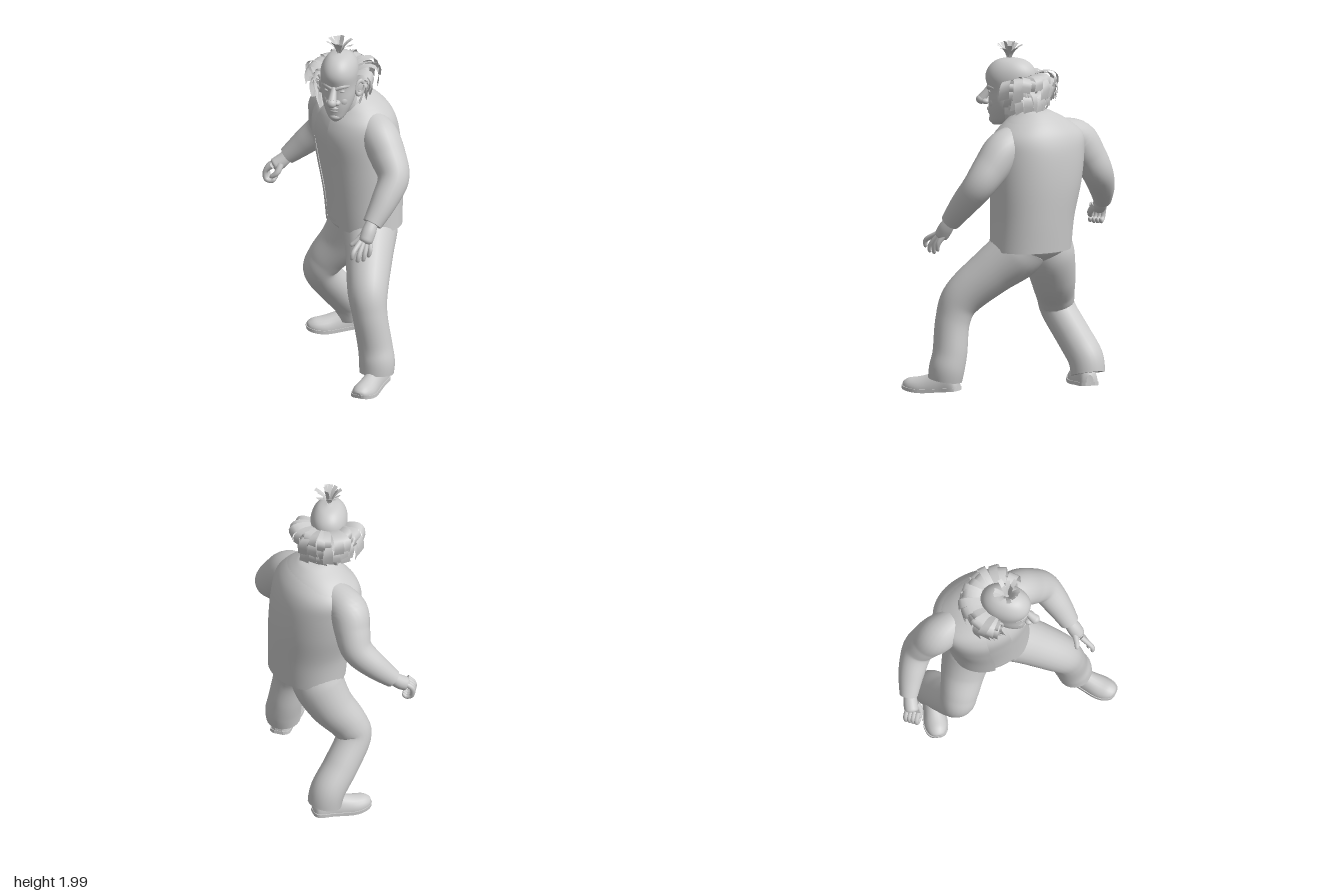
import * as THREE from 'three';

const grey = new THREE.MeshStandardMaterial({ color: 0xcccccc, roughness: 0.8 });
const thin = grey.clone();
thin.side = THREE.DoubleSide;
const V = (x, y, z) => new THREE.Vector3(x, y, z);

let seed = 7;
const rand = (a, b) => {
  seed = (seed * 16807) % 2147483647;
  return a + (b - a) * seed / 2147483647;
};

// Catmull-Rom through rows of numbers, n steps per span
function smooth(rows, n) {
  const out = [], last = rows.length - 1;
  const row = i => rows[Math.min(last, Math.max(0, i))];
  for (let s = 0; s < last * n + 1; s++) {
    const i = Math.min(last - 1, Math.floor(s / n)), t = s / n - i;
    out.push(row(i).map((b, k) => {
      const a = row(i - 1)[k], c = row(i + 1)[k], d = row(i + 2)[k];
      return b + 0.5 * t * (c - a + t * (2 * a - 5 * b + 4 * c - d + t * (3 * (b - c) + d - a)));
    }));
  }
  return out;
}

// Skin between rings of points
function loft(name, rings, closed = true, material = grey) {
  const m = rings[0].length, index = [];
  for (let i = 0; i < rings.length - 1; i++) {
    for (let j = 0; j < (closed ? m : m - 1); j++) {
      const k = (j + 1) % m, a = i * m + j, b = i * m + k;
      index.push(a, b, a + m, b, b + m, a + m);
    }
  }
  const g = new THREE.BufferGeometry().setFromPoints(rings.flat());
  g.setIndex(index);
  g.computeVertexNormals();
  const mesh = new THREE.Mesh(g, material);
  mesh.name = name;
  return mesh;
}

// Flat caps with a sharp rim
function capped(rings) {
  const cap = ring => {
    const c = ring.reduce((s, p) => s.add(p), V(0, 0, 0)).divideScalar(ring.length);
    return ring.map(() => c);
  };
  const a = rings[0], b = rings[rings.length - 1];
  return [cap(a), a, ...rings, b, cap(b)];
}

// Round tube through rows [x, y, z, radius]
function limb(name, rows, { ref = V(1, 0, 0), sides = 24, steps = 8, round = false } = {}) {
  const pts = smooth(rows, steps), n = pts.length - 1;
  const rings = pts.map((p, i) => {
    const T = V(...pts[Math.min(n, i + 1)]).sub(V(...pts[Math.max(0, i - 1)])).normalize();
    const U = ref.clone().cross(T).normalize(), W = T.clone().cross(U);
    const end = round ? Math.sqrt(Math.max(0.12, 1 - Math.max(0, (i / n - 0.8) / 0.2) ** 2)) : 1;
    return Array.from({ length: sides }, (_, j) => {
      const q = j / sides * Math.PI * 2, r = p[3] * end;
      return V(p[0], p[1], p[2]).addScaledVector(U, r * Math.cos(q)).addScaledVector(W, r * Math.sin(q));
    });
  });
  return loft(name, capped(rings));
}

// Level ring turned by yaw, from q0 to q1 (0 is the front)
function levelRing([y, cx, cz, w, d], yaw, power, sides, q0 = 0, q1 = Math.PI * 2) {
  const full = q1 - q0 > 6.28, e = 2 / power;
  return Array.from({ length: full ? sides : sides + 1 }, (_, j) => {
    const q = q0 + (q1 - q0) * j / sides, c = Math.cos(q), s = Math.sin(q);
    return V(Math.sign(s) * Math.abs(s) ** e * w, 0, Math.sign(c) * Math.abs(c) ** e * d)
      .applyAxisAngle(V(0, 1, 0), yaw).add(V(cx, y, cz));
  });
}

function ball(name, x, y, z, sx, sy, sz) {
  const mesh = new THREE.Mesh(new THREE.SphereGeometry(1, 24, 16), grey);
  mesh.position.set(x, y, z);
  mesh.scale.set(sx, sy, sz);
  mesh.name = name;
  return mesh;
}

// Bent strand of hair from a to d
function strand(name, a, b, c, d, side, width) {
  const rings = new THREE.CubicBezierCurve3(a, b, c, d).getPoints(7).map((p, i) =>
    [-1, 0, 1].map(s => p.clone().addScaledVector(side, s * width * (0.85 + 0.04 * i))));
  return loft(name, rings, false, thin);
}

function makeShoe(name, x, z, yaw) {
  const shoe = new THREE.Group();
  shoe.name = name;
  // [z, half width, height]
  const rows = [[-0.105, 0.022, 0.07], [-0.09, 0.046, 0.1], [-0.06, 0.054, 0.125], [0, 0.053, 0.125], [0.07, 0.059, 0.11],
    [0.14, 0.066, 0.092], [0.19, 0.058, 0.078], [0.222, 0.038, 0.055], [0.233, 0.014, 0.04]];
  const lift = pz => 0.03 * Math.max(0, (pz - 0.07) / 0.16) ** 2;
  const rings = smooth(rows, 4).map(([pz, w, h]) => Array.from({ length: 20 }, (_, j) => {
    const q = j / 20 * Math.PI * 2, s = Math.sin(q);
    return V(Math.cos(q) * w, 0.025 + lift(pz) + (s > 0 ? s * (h - 0.025) : s * 0.01), pz);
  }));
  shoe.add(loft('shoeUpper', capped(rings)));
  const sole = smooth(rows, 4).map(([pz, w]) => [[1, 0.008], [1, 0.028], [-1, 0.028], [-1, 0.008]]
    .map(([s, y]) => V(s * (w + 0.005), y + lift(pz), pz * 1.02)));
  const soleMesh = loft('shoeSole', capped(sole));
  soleMesh.geometry = soleMesh.geometry.toNonIndexed();
  soleMesh.geometry.computeVertexNormals();
  shoe.add(soleMesh);
  shoe.position.set(x, 0.01, z);
  shoe.rotation.set(0.1, yaw, 0, 'YXZ');
  return shoe;
}

function makeHead() {
  const head = new THREE.Group(), cx = 0.055;
  head.name = 'head';
  const skull = smooth([[1.515, cx, 0.07, 0.02, 0.025], [1.535, cx, 0.056, 0.045, 0.052],
    [1.565, cx, 0.038, 0.064, 0.075], [1.61, cx, 0.018, 0.084, 0.1], [1.66, cx, 0.003, 0.096, 0.115],
    [1.72, cx, -0.008, 0.1, 0.128], [1.79, cx, -0.01, 0.105, 0.146], [1.845, cx, -0.012, 0.092, 0.13],
    [1.885, cx, -0.012, 0.06, 0.085], [1.902, cx, -0.012, 0.012, 0.02]], 5).map(r => levelRing(r, 0, 2.15, 40));
  head.add(loft('skull', capped(skull)));
  head.add(limb('neck', [[0.1, 1.44, -0.12, 0.085], [0.08, 1.54, -0.07, 0.078], [0.06, 1.64, -0.02, 0.08]]));
  // Face
  head.add(limb('noseBridge', [[cx, 1.74, 0.108, 0.014], [cx, 1.705, 0.128, 0.019], [cx, 1.665, 0.155, 0.026]]));
  head.add(ball('noseTip', cx, 1.655, 0.162, 0.028, 0.027, 0.03));
  head.add(ball('chin', cx, 1.545, 0.085, 0.035, 0.024, 0.032));
  for (const s of [-1, 1]) {
    const X = d => cx + s * d;
    head.add(ball('nostril', X(0.025), 1.647, 0.133, 0.018, 0.016, 0.022));
    head.add(ball('eye', X(0.042), 1.708, 0.1, 0.018, 0.01, 0.013));
    head.add(ball('cheek', X(0.042), 1.645, 0.058, 0.034, 0.045, 0.05));
    head.add(limb('brow', [[X(0.008), 1.724, 0.118, 0.012], [X(0.045), 1.738, 0.104, 0.014], [X(0.08), 1.732, 0.066, 0.01]],
      { ref: V(0, 1, 0), sides: 12, round: true }));
    const ear = new THREE.Group();
    ear.name = 'ear';
    const rim = new THREE.Mesh(new THREE.TorusGeometry(0.027, 0.009, 10, 24), grey);
    rim.scale.y = 1.5;
    ear.add(rim, ball('earBowl', 0, 0, -0.005, 0.026, 0.04, 0.01));
    ear.position.set(X(0.117), 1.69, -0.02);
    ear.rotation.set(0, s * 0.85, -s * 0.15);
    head.add(ear);
  }
  for (const [y, z] of [[1.604, 0.117], [1.586, 0.111]]) {
    head.add(limb('lip', [[cx - 0.04, y - 0.006, z - 0.024, 0.004], [cx, y, z, 0.012], [cx + 0.04, y - 0.006, z - 0.024, 0.004]],
      { ref: V(0, 1, 0), sides: 10 }));
  }
  // Shaggy hair in layers round the sides and back, fuller behind
  for (let layer = 0; layer < 5; layer++) {
    const t = layer / 4;
    for (let i = 0; i < 14; i++) {
      const q = (92 + 176 * i / 13) * Math.PI / 180 + rand(-0.08, 0.08), back = Math.max(0, -Math.cos(q));
      const out = V(Math.sin(q), 0, Math.cos(q)), side = V(Math.cos(q), rand(-0.3, 0.3), -Math.sin(q));
      const at = (d, h) => V(cx + out.x * (0.098 + d), h, -0.025 + out.z * (0.125 + d));
      const y = 1.775 - 0.125 * t + 0.03 * back;
      const reach = 0.12 - 0.075 * t + back * (0.025 + 0.03 * t) + rand(-0.015, 0.02);
      const top = y + 0.03 + rand(-0.01, 0.015);
      const tip = at(reach - 0.045 + rand(-0.03, 0.03), top - 0.115 + rand(-0.03, 0.03)).addScaledVector(side, rand(-0.03, 0.03));
      head.add(strand('hairStrand', at(-0.01, y), at(reach * 0.4, top), at(reach * 1.1, top), tip, side, rand(0.02, 0.03)));
    }
  }
  // Tuft on the crown
  for (let i = 0; i < 13; i++) {
    const q = i * 2.4, r = rand(0.03, 0.09), out = V(Math.sin(q), 0, Math.cos(q));
    const at = (d, h) => V(cx + out.x * d, h, out.z * d);
    head.add(strand('tuftStrand', at(0.006, 1.89), at(0.012, 1.92), at(r * 0.5, 1.96), at(r, 2.015 - r * 0.55),
      V(Math.cos(q), 0, -Math.sin(q)), 0.012));
  }
  return head;
}

export function createModel() {
  const model = new THREE.Group(), turn = -Math.PI / 4;

  // Torso: [height, x, z, half width, half depth]
  const body = smooth([[0.825, 0.163, -0.145, 0.24, 0.205], [1.0, 0.153, -0.153, 0.243, 0.218],
    [1.2, 0.128, -0.167, 0.268, 0.232], [1.37, 0.105, -0.17, 0.28, 0.235], [1.47, 0.1, -0.175, 0.27, 0.21],
    [1.54, 0.108, -0.17, 0.2, 0.165], [1.59, 0.108, -0.155, 0.122, 0.12], [1.605, 0.1, -0.14, 0.095, 0.1]], 6);
  model.add(loft('jacket', body.map(r => levelRing(r, turn, 2.1, 56, 0.24, Math.PI * 2 - 0.24)), false, thin));
  const inner = body.map(([y, x, z, w, d]) => levelRing([y + 0.01, x, z, w - 0.012, d - 0.01], turn, 2.1, 48));
  model.add(loft('shirt', capped(inner)));
  const collar = [[1.53, 0.088, -0.105, 0.115, 0.115], [1.575, 0.085, -0.1, 0.1, 0.1], [1.6, 0.08, -0.095, 0.092, 0.092]];
  model.add(loft('collar', smooth(collar, 4).map(r => levelRing(r, turn, 2, 36, 0.3, Math.PI * 2 - 0.3)), false, thin));

  // Trousers
  const pelvis = smooth([[0.735, 0.15, -0.165, 0.03, 0.05], [0.765, 0.15, -0.165, 0.1, 0.11], [0.83, 0.157, -0.15, 0.222, 0.19],
    [0.95, 0.155, -0.15, 0.225, 0.195]], 5);
  model.add(loft('trouserSeat', capped(pelvis.map(r => levelRing(r, turn, 2, 36)))));
  model.add(limb('leftTrouserLeg', [[0.22, 0.87, -0.14, 0.14], [0.222, 0.8, -0.07, 0.153], [0.25, 0.695, 0.065, 0.135],
    [0.285, 0.55, 0.225, 0.116], [0.312, 0.42, 0.275, 0.1], [0.345, 0.24, 0.285, 0.099], [0.36, 0.15, 0.3, 0.102], [0.36, 0.085, 0.31, 0.098]]));
  model.add(limb('rightTrouserLeg', [[0.1, 0.87, -0.22, 0.14], [0.085, 0.78, -0.235, 0.148], [0.01, 0.64, -0.245, 0.13],
    [-0.085, 0.52, -0.24, 0.11], [-0.12, 0.43, -0.25, 0.1], [-0.06, 0.29, -0.35, 0.1], [0, 0.18, -0.43, 0.101], [0.02, 0.09, -0.45, 0.098]]));
  model.add(makeShoe('leftShoe', 0.36, 0.325, -0.17));
  model.add(makeShoe('rightShoe', -0.01, -0.43, -1.12));

  // Sleeves
  model.add(limb('leftSleeve', [[0.19, 1.465, -0.09, 0.09], [0.285, 1.405, -0.015, 0.11], [0.355, 1.31, 0.045, 0.104],
    [0.405, 1.21, 0.11, 0.09], [0.375, 1.1, 0.2, 0.076], [0.328, 0.99, 0.285, 0.056]]));
  model.add(limb('rightSleeve', [[-0.01, 1.465, -0.28, 0.09], [-0.105, 1.415, -0.36, 0.11], [-0.135, 1.32, -0.42, 0.102],
    [-0.17, 1.22, -0.465, 0.09], [-0.27, 1.12, -0.47, 0.075], [-0.375, 1.025, -0.455, 0.052]], { ref: V(0, 0, 1) }));

  // Open left hand
  const leftHand = new THREE.Group();
  leftHand.name = 'leftHand';
  leftHand.add(limb('palm', [[0.328, 1.0, 0.28, 0.034], [0.315, 0.95, 0.315, 0.042], [0.3, 0.89, 0.35, 0.04]], { round: true }));
  const tips = [[0.25, 0.825, 0.445], [0.275, 0.8, 0.415], [0.3, 0.797, 0.385], [0.325, 0.815, 0.36]];
  tips.forEach(([x, y, z], i) => leftHand.add(limb('finger', [[0.282 + i * 0.015, 0.91, 0.372 - i * 0.017, 0.016],
    [x + 0.01, y + 0.045, z - 0.005, 0.014], [x, y, z, 0.011]], { sides: 12, round: true })));
  leftHand.add(limb('thumb', [[0.295, 0.945, 0.325, 0.02], [0.255, 0.905, 0.35, 0.016], [0.22, 0.875, 0.365, 0.012]],
    { ref: V(0, 0, 1), sides: 12, round: true }));
  model.add(leftHand);

  // Curled right hand
  const rightHand = new THREE.Group();
  rightHand.name = 'rightHand';
  const flat = { ref: V(0, 0, 1), sides: 12, round: true };
  rightHand.add(limb('palm', [[-0.36, 1.04, -0.455, 0.034], [-0.405, 0.995, -0.435, 0.041], [-0.45, 0.965, -0.413, 0.04]],
    { ref: V(0, 0, 1), round: true }));
  for (let i = 0; i < 4; i++) {
    const z = -0.44 + i * 0.021, d = i === 3 ? 0.006 : 0;
    rightHand.add(limb('finger', [[-0.445, 0.985, z, 0.015], [-0.482, 0.955 - d, z, 0.015], [-0.48, 0.905, z + 0.005, 0.013],
      [-0.447, 0.887 + d, z + 0.008, 0.012], [-0.425, 0.91, z + 0.008, 0.011]], flat));
  }
  rightHand.add(limb('thumb', [[-0.4, 0.99, -0.405, 0.02], [-0.415, 0.945, -0.375, 0.017], [-0.455, 0.915, -0.37, 0.012]], flat));
  model.add(rightHand);

  model.add(makeHead());
  return model;
}
